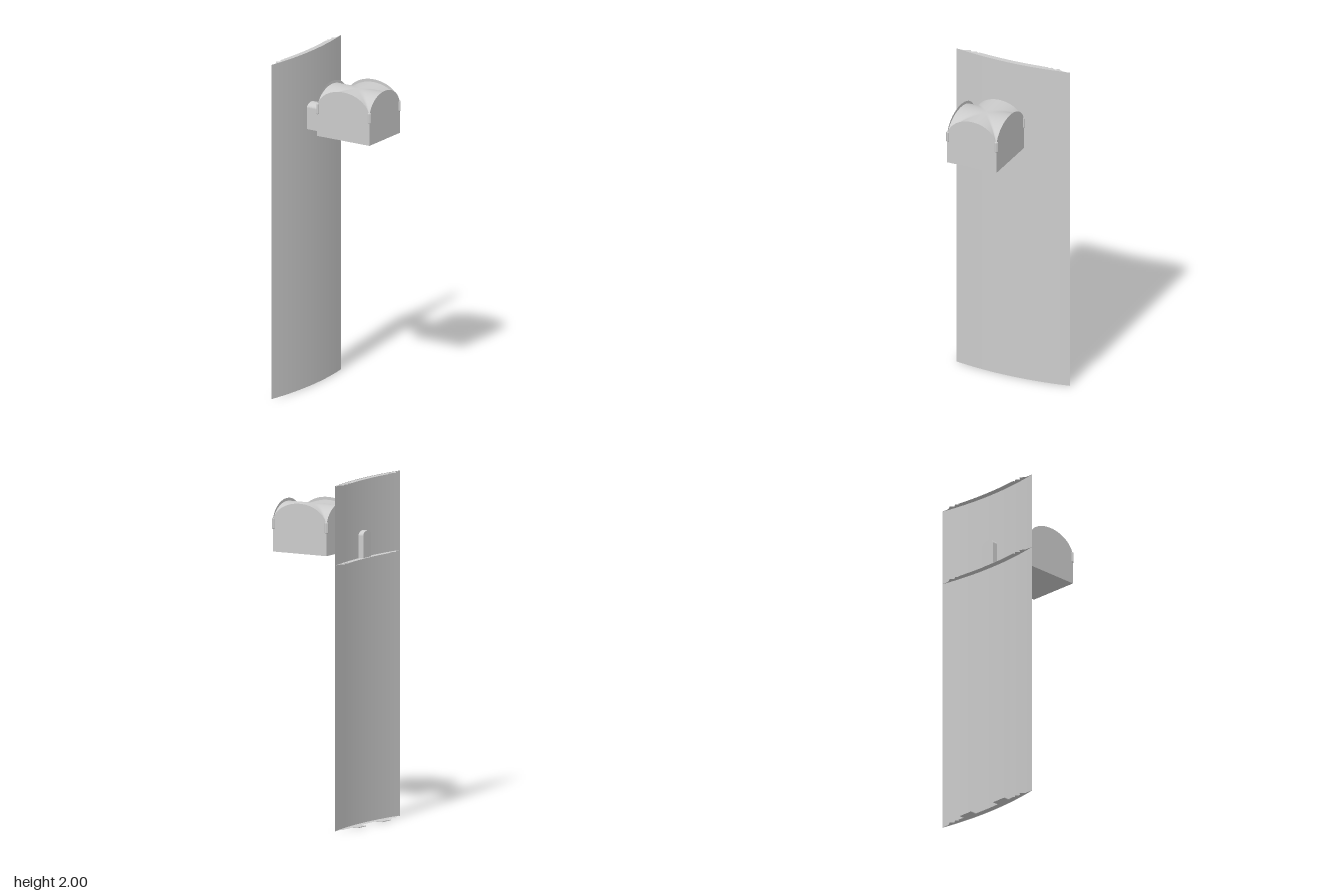
import * as THREE from 'three';
import { RoundedBoxGeometry } from 'three/addons/geometries/RoundedBoxGeometry.js';

const mat = new THREE.MeshStandardMaterial({ color: 0xcccccc, side: THREE.DoubleSide });

function add(parent, name, geometry, x = 0, y = 0, z = 0) {
  const mesh = new THREE.Mesh(geometry, mat);
  mesh.name = name;
  mesh.position.set(x, y, z);
  parent.add(mesh);
  return mesh;
}

// Curved panel: a shallow arc bulging towards +x
const HALF = 0.361, SAG = 0.035, FRONT = -0.218;
const R = (HALF * HALF + SAG * SAG) / (2 * SAG);
const arcX = (z) => FRONT - R + Math.sqrt(R * R - z * z);

// Thin rib behind the panel, following its curve, with notched ends
function ribGeometry() {
  const pts = [];
  for (let i = 0; i <= 24; i++) {
    const z = -HALF + (2 * HALF * i) / 24;
    pts.push(new THREE.Vector2(arcX(z), z));
  }
  const notches = [[-0.254, 0.31], [-0.274, 0.28], [-0.254, 0.265], [-0.27, 0.24], [-0.255, 0.225], [-0.265, 0.22]];
  for (const [x, z] of notches) pts.push(new THREE.Vector2(x, z));
  for (let i = 1; i < 12; i++) {
    const z = 0.22 - (0.44 * i) / 12;
    pts.push(new THREE.Vector2(arcX(z) - SAG, z));
  }
  for (const [x, z] of notches.slice().reverse()) pts.push(new THREE.Vector2(x, -z));
  return new THREE.ShapeGeometry(new THREE.Shape(pts)).rotateX(-Math.PI / 2);
}

// Flat wall with a half-ellipse top, standing on y = 0
function archedWall(halfWidth, spring, rise) {
  const s = new THREE.Shape();
  s.moveTo(-halfWidth, 0);
  s.lineTo(halfWidth, 0);
  s.lineTo(halfWidth, spring);
  s.absellipse(0, spring, halfWidth, rise, 0, Math.PI, false);
  s.lineTo(-halfWidth, 0);
  return s;
}

// Cross vault: two crossing barrel vaults meeting along the diagonals
function vaultGeometry(a, b, rise) {
  const n = 48;
  const g = new THREE.PlaneGeometry(2, 2, n, n).rotateX(-Math.PI / 2);
  const p = g.attributes.position;
  for (let i = 0; i < p.count; i++) {
    const u = Math.sin((p.getX(i) * Math.PI) / 2), v = Math.sin((p.getZ(i) * Math.PI) / 2);
    const m = Math.min(Math.abs(u), Math.abs(v), 1);
    p.setXYZ(i, u * a, rise * Math.sqrt(1 - m * m), v * b);
  }
  g.computeVertexNormals();
  return g;
}

export function createModel() {
  const model = new THREE.Group();
  model.name = 'wallLamp';

  // Tall back panel
  const angle = Math.asin(HALF / R);
  add(model, 'panel',
    new THREE.CylinderGeometry(R, R, 2, 32, 1, true, Math.PI / 2 - angle, 2 * angle), FRONT - R, 1, 0);
  for (const y of [0.002, 1.54, 1.998]) add(model, 'panelRib', ribGeometry(), 0, y, 0);

  // Two thin tabs at the foot of the panel
  for (const side of [-1, 1])
    add(model, 'footTab', new THREE.BoxGeometry(0.044, 0.004, 0.089), -0.275, 0.002, side * 0.134);

  // Arm with a rounded top, passing through the panel
  const arm = new THREE.ExtrudeGeometry(archedWall(0.044, 0.128, 0.027),
    { depth: 0.177, bevelEnabled: false, curveSegments: 16 }).rotateY(Math.PI / 2);
  add(model, 'arm', arm, -0.25, 1.543, 0);

  // Lamp head: arched walls around a cross vault
  const head = new THREE.Group();
  head.name = 'head';
  head.position.set(0.107, 1.555, 0);
  model.add(head);
  const a = 0.18, b = 0.157, spring = 0.165, rise = 0.125;
  for (const side of [-1, 1]) {
    const turn = side > 0 ? 0 : Math.PI;
    const endWall = add(head, 'endWall', new THREE.ShapeGeometry(archedWall(a, spring, rise), 40), 0, 0, side * b);
    endWall.rotation.y = turn;
    const sideWall = add(head, 'sideWall', new THREE.ShapeGeometry(archedWall(b, spring, rise), 40), side * a, 0, 0);
    sideWall.rotation.y = turn + Math.PI / 2;
  }
  add(head, 'headBottom', new THREE.PlaneGeometry(2 * a, 2 * b).rotateX(Math.PI / 2));
  add(head, 'vaultedRoof', vaultGeometry(a, b, rise), 0, spring - 0.017, 0);

  // Corner clips, turned to the diagonal
  for (const sx of [-1, 1]) for (const sz of [-1, 1]) {
    const clip = add(head, 'cornerClip', new RoundedBoxGeometry(0.021, 0.065, 0.014, 3, 0.006),
      sx * (a - 0.002), 0.163, sz * (b - 0.002));
    clip.rotation.y = (sx * sz * Math.PI) / 4;
  }
  return model;
}
